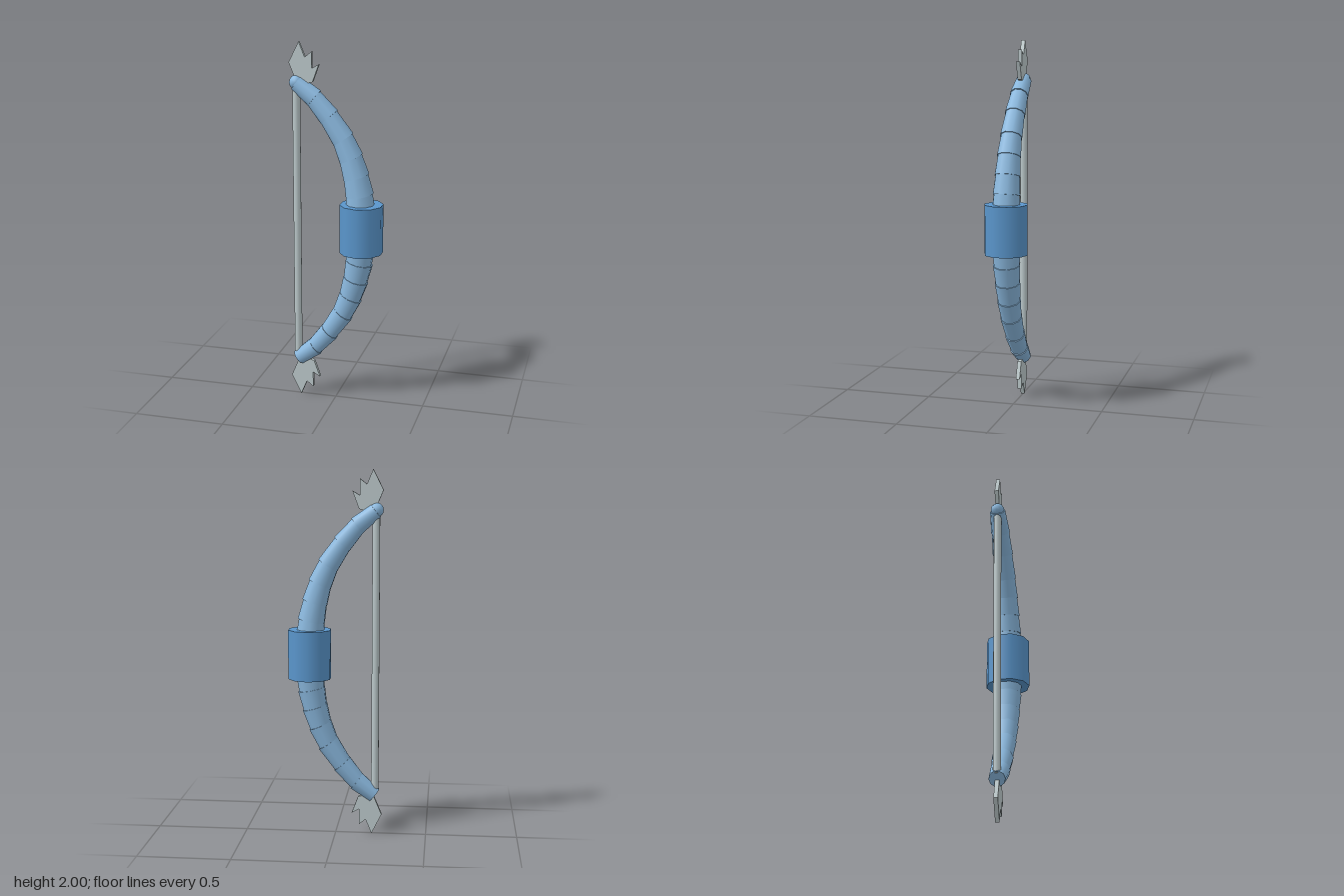
import * as THREE from 'three';

const limbMat = new THREE.MeshStandardMaterial({ color: 0x8ab8de });
limbMat.name = 'lightBlue';
const gripMat = new THREE.MeshStandardMaterial({ color: 0x5a96cc });
gripMat.name = 'midBlue';
const paleMat = new THREE.MeshStandardMaterial({ color: 0xbcc9cb });
paleMat.name = 'paleGrey';

const UP = new THREE.Vector3(0, 1, 0);

function add(parent, name, geometry, material) {
  const mesh = new THREE.Mesh(geometry, material);
  mesh.name = name;
  parent.add(mesh);
  return mesh;
}

// Centre line of one limb: x, and height above the middle of the bow
const limbPoints = [
  [0.14, 0.0], [0.138, 0.1], [0.13, 0.2], [0.11, 0.3], [0.08, 0.4],
  [0.035, 0.5], [-0.043, 0.615], [-0.125, 0.71], [-0.215, 0.78],
];

// Overlapping tapered segments, each a little wider at its grip end
function makeLimb(name, side) {
  const limb = new THREE.Group();
  limb.name = name;
  const last = limbPoints.length - 1;
  for (let i = 0; i < last; i++) {
    const [a, b] = [limbPoints[i], limbPoints[i + 1]].map(([x, y]) => new THREE.Vector3(x, 1 + side * y, 0));
    const dir = b.clone().sub(a).normalize();
    a.addScaledVector(dir, -0.012);
    if (i < last - 1) b.addScaledVector(dir, 0.012);
    const r0 = 0.085 - 0.037 * (i / last);
    const r1 = 0.078 - 0.035 * ((i + 1) / last);
    const segment = add(limb, 'limbSegment', new THREE.CylinderGeometry(r1, r0, a.distanceTo(b), 10), limbMat);
    segment.position.copy(a).add(b).multiplyScalar(0.5);
    segment.quaternion.setFromUnitVectors(UP, dir);
  }
  return limb;
}

// Jagged flat blade beyond a limb tip
function makeBlade(name, side) {
  const outline = [
    [-0.2, 1], [-0.255, 0.89], [-0.205, 0.77], [-0.125, 0.79],
    [-0.09, 0.885], [-0.13, 0.862], [-0.13, 0.95], [-0.167, 0.92],
  ].map(([x, y]) => new THREE.Vector2(x, 1 + side * y));
  const geometry = new THREE.ExtrudeGeometry(new THREE.Shape(outline), { depth: 0.022, bevelEnabled: false });
  geometry.translate(0, 0, -0.011);
  const blade = new THREE.Mesh(geometry, paleMat);
  blade.name = name;
  return blade;
}

export function createModel() {
  const bow = new THREE.Group();
  bow.name = 'bow';

  bow.add(makeLimb('upperLimb', 1), makeLimb('lowerLimb', -1));
  bow.add(makeBlade('upperBlade', 1), makeBlade('lowerBlade', -1));

  // Rounded cap on the upper tip
  add(bow, 'upperTip', new THREE.SphereGeometry(0.038, 12, 8), limbMat).position.set(-0.218, 1.785, 0);

  // Ten-sided grip
  add(bow, 'grip', new THREE.CylinderGeometry(0.119, 0.119, 0.27, 10), gripMat).position.set(0.142, 1.005, 0);

  // Bowstring
  add(bow, 'string', new THREE.CylinderGeometry(0.021, 0.021, 1.53, 10), paleMat).position.set(-0.217, 1.01, 0);

  return bow;
}
